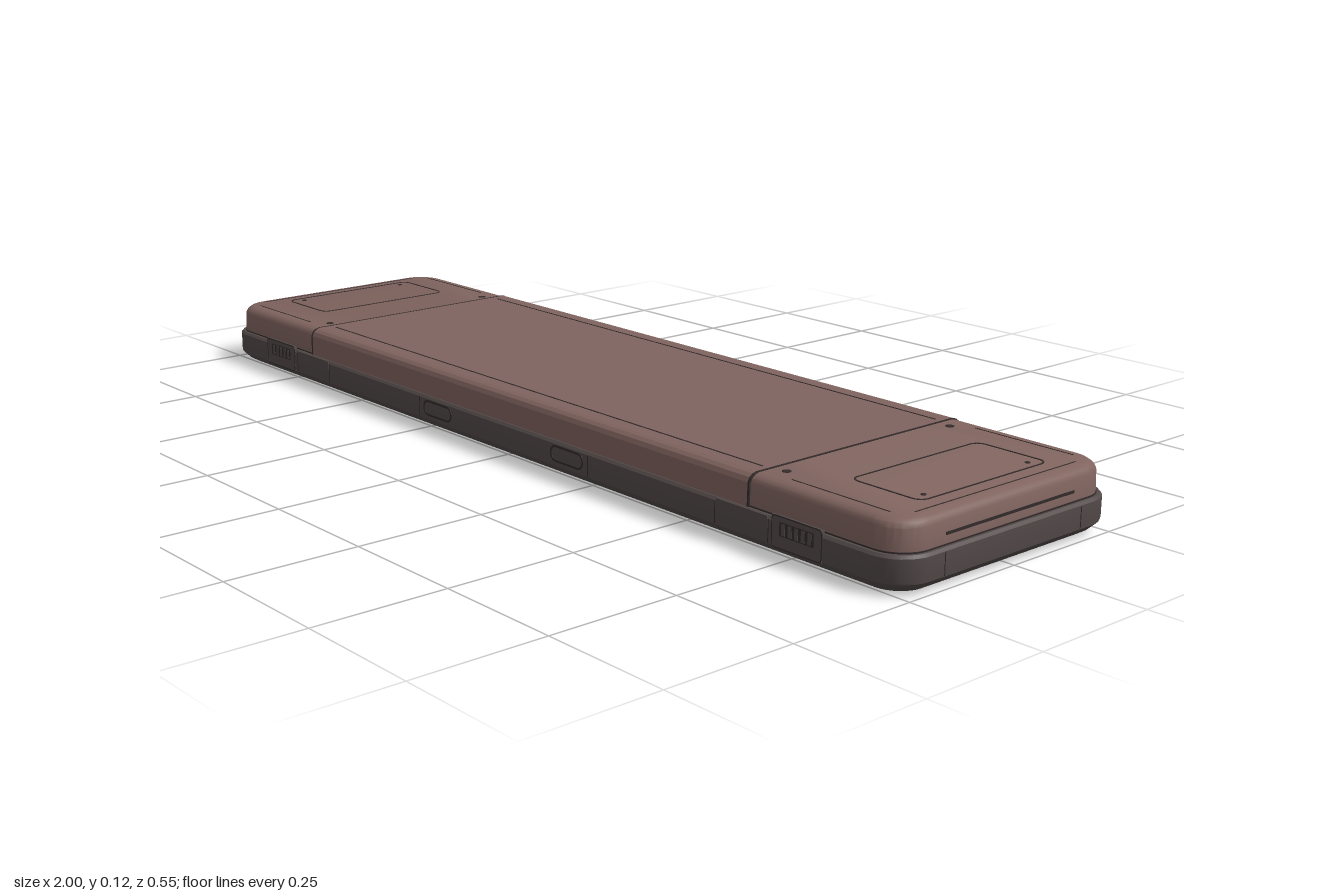
import * as THREE from 'three';
import { toCreasedNormals } from 'three/addons/utils/BufferGeometryUtils.js';

const mat = (name, color) => {
  const m = new THREE.MeshStandardMaterial({ color });
  m.name = name;
  return m;
};

// Solid through stacked rounded rectangles: [halfX, halfZ, cornerRadius, y]
function loft(rings, seg = 8) {
  const pos = [], idx = [], n = 4 * (seg + 1);
  for (const [hx, hz, r, y] of rings) {
    for (let c = 0; c < 4; c++) {
      const sx = c === 0 || c === 3 ? 1 : -1, sz = c < 2 ? 1 : -1;
      for (let s = 0; s <= seg; s++) {
        const a = (c + s / seg) * Math.PI / 2;
        pos.push(sx * (hx - r) + r * Math.cos(a), y, sz * (hz - r) + r * Math.sin(a));
      }
    }
  }
  const last = rings.length - 1;
  for (let i = 0; i < last; i++) {
    for (let j = 0; j < n; j++) {
      const a = i * n + j, b = i * n + (j + 1) % n;
      idx.push(a, a + n, b, b, a + n, b + n);
    }
  }
  const bottom = pos.length / 3;
  pos.push(0, rings[0][3], 0, 0, rings[last][3], 0);
  for (let j = 0; j < n; j++) {
    const k = (j + 1) % n;
    idx.push(bottom, j, k, bottom + 1, last * n + k, last * n + j);
  }
  const g = new THREE.BufferGeometry();
  g.setAttribute('position', new THREE.Float32BufferAttribute(pos, 3));
  g.setIndex(idx);
  return toCreasedNormals(g, 0.5);
}

// Symmetric [halfZ, y] profile extruded along x
function crossSection(profile, x0, x1, grow = 0) {
  const mid = (profile[0][1] + profile[profile.length - 1][1]) / 2;
  const side = profile.map(([z, y]) => new THREE.Vector2(z + grow, y + Math.sign(y - mid) * grow));
  const mirrored = side.map(p => new THREE.Vector2(-p.x, p.y)).reverse();
  const g = new THREE.ExtrudeGeometry(new THREE.Shape([...side, ...mirrored]),
    { depth: x1 - x0, bevelEnabled: false });
  return g.rotateY(Math.PI / 2).translate(x0, 0, 0);
}

function roundedPath(path, hx, hy, r) {
  path.moveTo(hx, -hy + r);
  path.lineTo(hx, hy - r);
  path.absarc(hx - r, hy - r, r, 0, Math.PI / 2);
  path.absarc(-hx + r, hy - r, r, Math.PI / 2, Math.PI);
  path.absarc(-hx + r, -hy + r, r, Math.PI, Math.PI * 1.5);
  path.absarc(hx - r, -hy + r, r, Math.PI * 1.5, Math.PI * 2);
  return path;
}

// Thin rounded outline lying in the xy plane
function outline(hx, hy, r, w) {
  const s = roundedPath(new THREE.Shape(), hx, hy, r);
  s.holes.push(roundedPath(new THREE.Path(), hx - w, hy - w, r - w));
  return new THREE.ExtrudeGeometry(s, { depth: 0.0015, bevelEnabled: false, curveSegments: 6 });
}

export function createModel() {
  const model = new THREE.Group();
  model.name = 'flatCase';
  const lidMat = mat('dusty brown', 0x80645f);
  const baseMat = mat('dark grey brown', 0x544b4a);
  const lineMat = mat('seam charcoal', 0x332c2b);

  const add = (name, geo, material, x = 0, y = 0, z = 0) => {
    const m = new THREE.Mesh(geo, material);
    m.name = name;
    m.position.set(x, y, z);
    model.add(m);
    return m;
  };
  const box = (name, w, h, d, material, x, y, z) =>
    add(name, new THREE.BoxGeometry(w, h, d), material, x, y, z);

  // Lower tray with chamfered underside
  add('base', loft([
    [0.972, 0.242, 0.05, 0], [0.985, 0.256, 0.058, 0.008], [0.998, 0.269, 0.066, 0.021],
    [0.999, 0.27, 0.066, 0.026], [0.999, 0.27, 0.066, 0.063], [0.995, 0.266, 0.063, 0.068],
  ]), baseMat);
  add('partingLine', loft([[0.991, 0.261, 0.06, 0.066], [0.991, 0.261, 0.06, 0.0705]]), lineMat);

  // Lid: rounded ends and a slightly raised middle
  add('lid', loft([
    [0.99, 0.26, 0.06, 0.07], [0.989, 0.259, 0.06, 0.108], [0.985, 0.255, 0.057, 0.116],
    [0.978, 0.248, 0.052, 0.121], [0.97, 0.24, 0.045, 0.123],
  ]), lidMat);
  const lidProfile = [[0.263, 0.068], [0.262, 0.109], [0.258, 0.117], [0.251, 0.122], [0.242, 0.124]];
  add('lidMiddle', crossSection(lidProfile, -0.664, 0.66), lidMat);
  for (const x of [-0.666, 0.66]) {
    add('lidSeam', crossSection(lidProfile, x - 0.002, x + 0.002, 0.0004), lineMat);
  }

  // Long grooves near the lid edges
  for (const s of [-1, 1]) {
    box('lidGroove', 1.29, 0.0012, 0.003, lineMat, 0, 0.1241, s * 0.215);
    for (const e of [-1, 1]) {
      box('endGroove', 0.21, 0.0012, 0.002, lineMat, e * 0.83, 0.1231, s * 0.228);
    }
  }

  for (const e of [-1, 1]) {
    // Inset panel and screws on each end
    const px = e < 0 ? -0.862 : 0.857;
    const panel = add('endPanelOutline', outline(0.076, 0.16, 0.02, 0.003), lineMat, px, 0.1225, -0.005);
    panel.rotation.x = -Math.PI / 2;
    box('rimGroove', 0.002, 0.0012, 0.4, lineMat, e * 0.96, 0.1231, 0);
    for (const s of [-1, 1]) {
      add('lidScrew', new THREE.CylinderGeometry(0.008, 0.008, 0.002, 16), lineMat, e * 0.688, 0.123, s * 0.203);
      add('panelScrew', new THREE.CylinderGeometry(0.005, 0.005, 0.002, 12), lineMat,
        px + e * 0.055, 0.123, s * 0.13 - 0.005);
      box('endBaseSeam', 0.001, 0.04, 0.0015, lineMat, e * 0.9992, 0.043, s * 0.17);
    }
    // Grip groove on the end face of the lid
    box('endGrip', 0.002, 0.005, 0.32, lineMat, e * 0.9895, 0.087, 0);
  }

  // Latches, slots and small plates along both long sides
  for (const s of [-1, 1]) {
    for (const e of [-1, 1]) {
      const x = e * 0.78;
      box('latch', 0.11, 0.054, 0.006, baseMat, x, 0.048, s * 0.2685);
      const frame = add('latchOutline', outline(0.056, 0.028, 0.008, 0.002), lineMat, x, 0.048, s * 0.2708);
      if (s < 0) frame.rotation.y = Math.PI;
      box('latchRecess', 0.076, 0.024, 0.001, lineMat, x, 0.054, s * 0.2717);
      for (let i = -2; i <= 2; i++) {
        box('latchRidge', 0.008, 0.02, 0.002, baseMat, x + i * 0.0145, 0.054, s * 0.2718);
      }
      const slot = add('slotOutline', outline(0.047, 0.016, 0.0155, 0.004), lineMat, e * 0.2, 0.045, s * 0.2692);
      if (s < 0) slot.rotation.y = Math.PI;
      for (const seam of [0.26, 0.59, 0.715]) {
        box('baseSeam', 0.002, 0.04, 0.001, lineMat, e * seam, 0.043, s * 0.27);
      }
      box('sidePlate', 0.12, 0.02, 0.003, baseMat, e * 0.653, 0.058, s * 0.2695);
    }
  }

  // Fine joints across the underside
  for (const x of [-0.66, -0.4, -0.13, 0.13, 0.4, 0.66]) {
    box('undersideJoint', 0.002, 0.001, 0.47, lineMat, x, 0.0004, 0);
  }
  return model;
}
